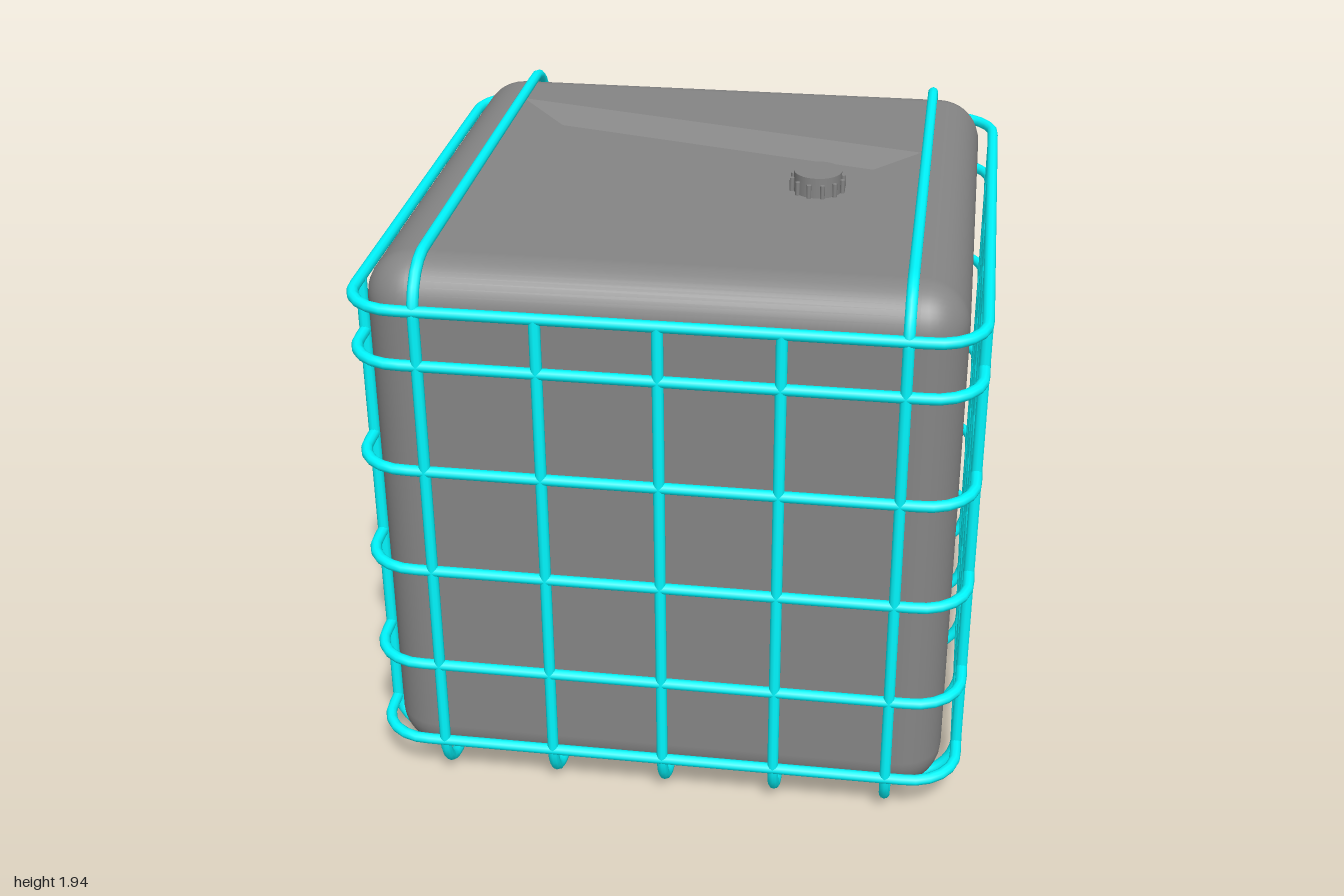
import * as THREE from 'three';
import { RoundedBoxGeometry } from 'three/addons/geometries/RoundedBoxGeometry.js';

const HALF = 0.98;      // centre line of the cage bars
const BAR = 0.0185;     // bar radius
const BEND = 0.16;      // bend radius of the bars
const LOW = 0.02, RIM = 1.787, HIGH = 1.927;
const TOP = 1.91, FLOOR = 1.86, BASE = 0.042, TANK = 0.935, ROUND = 0.15;

const grey = new THREE.MeshStandardMaterial({ color: 0x858585 });
const cyan = new THREE.MeshStandardMaterial({ color: 0x00f8ff });

function add(parent, name, geometry, material) {
  const mesh = new THREE.Mesh(geometry, material);
  mesh.name = name;
  parent.add(mesh);
  return mesh;
}

// Closed rounded rectangle, from a minimum to a maximum height
function closedPath(v0, v1) {
  const p = new THREE.Path();
  const a = HALF - BEND;
  p.moveTo(0, v0);
  p.lineTo(a, v0).absarc(a, v0 + BEND, BEND, -Math.PI / 2, 0);
  p.lineTo(HALF, v1 - BEND).absarc(a, v1 - BEND, BEND, 0, Math.PI / 2);
  p.lineTo(-a, v1).absarc(-a, v1 - BEND, BEND, Math.PI / 2, Math.PI);
  p.lineTo(-HALF, v0 + BEND).absarc(-a, v0 + BEND, BEND, Math.PI, Math.PI * 1.5);
  p.lineTo(0, v0);
  return p;
}

// U shape, open at the rim
function openPath() {
  const p = new THREE.Path();
  const a = HALF - BEND;
  p.moveTo(-HALF, RIM);
  p.lineTo(-HALF, LOW + BEND).absarc(-a, LOW + BEND, BEND, Math.PI, Math.PI * 1.5);
  p.lineTo(a, LOW).absarc(a, LOW + BEND, BEND, -Math.PI / 2, 0);
  p.lineTo(HALF, RIM);
  return p;
}

// Bar swept along a flat path that is placed in space by a mapping
function bar(path, place, closed) {
  const curve = new THREE.Curve();
  curve.arcLengthDivisions = 400;
  curve.getPoint = (t, target = new THREE.Vector3()) => {
    const p = path.getPoint(t);
    return target.set(...place(p.x, p.y));
  };
  return new THREE.TubeGeometry(curve, 160, BAR, 10, closed);
}

// Rounded box with its flat top panel left out
function tankShell() {
  const box = new RoundedBoxGeometry(TANK * 2, TOP - BASE, TANK * 2, 5, ROUND);
  const pos = box.attributes.position, nor = box.attributes.normal;
  const p = [], n = [];
  for (let i = 0; i < pos.count; i += 3) {
    const corners = [i, i + 1, i + 2];
    if (corners.every((k) => nor.getY(k) > 0.9999)) continue;
    for (const k of corners) {
      p.push(pos.getX(k), pos.getY(k) + (TOP + BASE) / 2, pos.getZ(k));
      n.push(nor.getX(k), nor.getY(k), nor.getZ(k));
    }
  }
  const g = new THREE.BufferGeometry();
  g.setAttribute('position', new THREE.Float32BufferAttribute(p, 3));
  g.setAttribute('normal', new THREE.Float32BufferAttribute(n, 3));
  return g;
}

// Outlines of the tapered recess, counter-clockwise from above, as [x, z]
const outer = [[-0.745, 0.62], [0.737, 0.255], [0.737, -0.255], [-0.745, -0.62]];
const inner = [[-0.575, 0.49], [0.577, 0.2], [0.577, -0.2], [-0.575, -0.49]];

function topPanel() {
  const s = TANK - ROUND;
  const shape = new THREE.Shape([[-s, -s], [s, -s], [s, s], [-s, s]].map((q) => new THREE.Vector2(...q)));
  shape.holes.push(new THREE.Path(outer.map(([x, z]) => new THREE.Vector2(x, -z))));
  return new THREE.ShapeGeometry(shape).rotateX(-Math.PI / 2).translate(0, TOP, 0);
}

function recess() {
  const p = [];
  const quad = (a, b, c, d) => p.push(...a, ...b, ...c, ...a, ...c, ...d);
  const o = outer.map(([x, z]) => [x, TOP, z]);
  const f = inner.map(([x, z]) => [x, FLOOR, z]);
  quad(...f);
  for (const i of [1, 3, 0, 2]) {
    const j = (i + 1) % 4;
    quad(o[i], o[j], f[j], f[i]);
  }
  const g = new THREE.BufferGeometry();
  g.setAttribute('position', new THREE.Float32BufferAttribute(p, 3));
  g.computeVertexNormals();
  // The end ramps blend softly into the floor and the top; the side walls stay crisp
  for (let k = 6; k < 18; k++) g.attributes.normal.setXYZ(k, 0, 1, 0);
  return g;
}

export function createModel() {
  const model = new THREE.Group();
  model.name = 'cagedTank';

  // Tank
  const tank = new THREE.Group();
  tank.name = 'tank';
  tank.position.x = -0.007;
  model.add(tank);
  add(tank, 'tankShell', tankShell(), grey);
  add(tank, 'tankTop', topPanel(), grey);
  add(tank, 'topRecess', recess(), grey);

  // Screw cap with grip ribs around its lower part
  const cap = new THREE.Group();
  cap.name = 'cap';
  cap.position.set(0.395, FLOOR, 0.008);
  model.add(cap);
  add(cap, 'capBody', new THREE.CylinderGeometry(0.081, 0.081, 0.07, 32), grey).position.y = 0.035;
  for (let i = 0; i < 12; i++) {
    const a = ((i + 0.5) / 12) * Math.PI * 2;
    add(cap, 'capRib', new THREE.CylinderGeometry(0.008, 0.008, 0.046, 8), grey)
      .position.set(Math.cos(a) * 0.088, 0.025, Math.sin(a) * 0.088);
  }

  // Cage: level rings
  const cage = new THREE.Group();
  cage.name = 'cage';
  model.add(cage);
  const ringPath = closedPath(-HALF, HALF);
  for (const y of [0.167, 0.48, 0.854, 1.228, 1.602, RIM]) {
    add(cage, 'ringBar', bar(ringPath, (u, v) => [u, y, -v], true), cyan);
  }

  // Cage: upright bars in both directions, two of them closed over the top
  const uPath = openPath(), hoopPath = closedPath(LOW, HIGH);
  for (const d of [-0.75, -0.375, 0, 0.375, 0.75]) {
    const over = Math.abs(d) > 0.7;
    add(cage, over ? 'overTopHoop' : 'sideToSideBar',
      bar(over ? hoopPath : uPath, (u, v) => [d, v, u], over), cyan);
    add(cage, 'crossBar', bar(uPath, (u, v) => [u, v, d], false), cyan);
  }
  return model;
}
